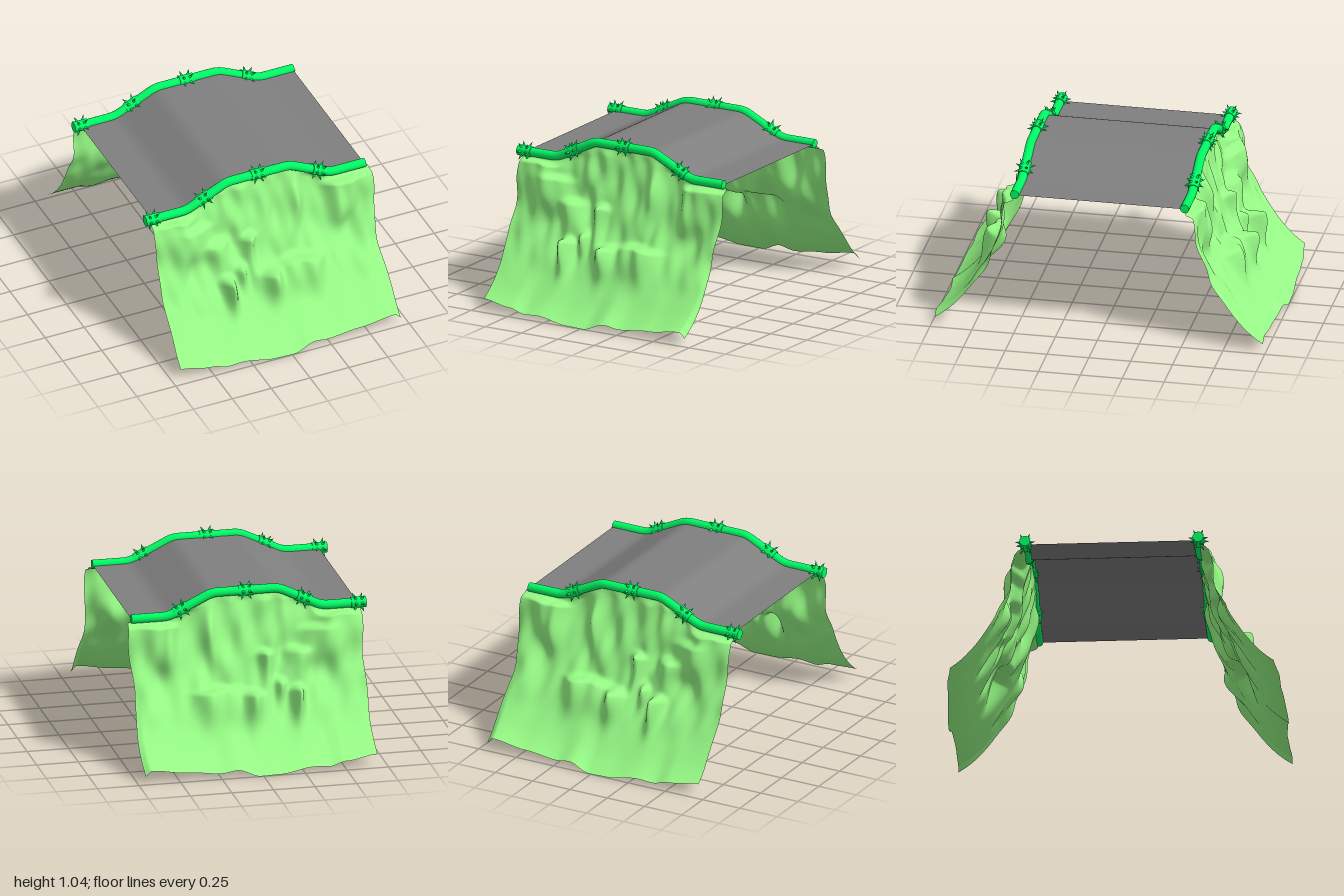
import * as THREE from 'three';

const mat = (color, side = THREE.FrontSide) => new THREE.MeshStandardMaterial({ color, side });
const roadMat = mat(0x7f7f7f, THREE.DoubleSide);
const railMat = mat(0x00f964);
const hillMat = mat(0x97fc86, THREE.DoubleSide);

// Interpolation through [key, value] pairs, optionally eased
function sample(table, k, smooth = false) {
  if (k <= table[0][0]) return table[0][1];
  for (let i = 1; i < table.length; i++) {
    const [a, va] = table[i - 1], [b, vb] = table[i];
    if (k <= b) {
      let t = (k - a) / (b - a);
      if (smooth) t = t * t * (3 - 2 * t);
      return va + (vb - va) * t;
    }
  }
  return table[table.length - 1][1];
}

// Hump-shaped track line shared by the road and the rails
const track = new THREE.Path();
track.moveTo(-0.72, 0.865);
track.lineTo(-0.5, 0.865);
track.quadraticCurveTo(-0.46, 0.865, -0.425, 0.882);
track.lineTo(-0.235, 0.975);
track.quadraticCurveTo(-0.2, 0.992, -0.165, 0.992);
track.lineTo(0.165, 0.992);
track.quadraticCurveTo(0.2, 0.992, 0.235, 0.975);
track.lineTo(0.425, 0.882);
track.quadraticCurveTo(0.46, 0.865, 0.5, 0.865);
track.lineTo(0.685, 0.865);
const linePts = track.getPoints(8).map((p) => [p.x, p.y]);
const trackY = (x) => sample(linePts, x);

// Grid surface from a rule (u, v) -> [x, y, z]
function surface(nu, nv, rule, flip) {
  const pos = [], idx = [];
  for (let j = 0; j <= nv; j++) for (let i = 0; i <= nu; i++) pos.push(...rule(i / nu, j / nv));
  for (let j = 0; j < nv; j++) for (let i = 0; i < nu; i++) {
    const a = j * (nu + 1) + i, b = a + 1, c = a + nu + 1, d = c + 1;
    if (flip) idx.push(a, b, c, b, d, c);
    else idx.push(a, c, b, b, c, d);
  }
  const g = new THREE.BufferGeometry();
  g.setAttribute('position', new THREE.Float32BufferAttribute(pos, 3));
  g.setIndex(idx);
  g.computeVertexNormals();
  return g;
}

// Slope profile: height -> distance from the centre
const profile = new THREE.SplineCurve([[0, 0.985], [0.04, 0.935], [0.1, 0.875], [0.2, 0.795], [0.3, 0.73],
  [0.4, 0.665], [0.5, 0.615], [0.6, 0.58], [0.8, 0.522], [1, 0.492]].map((p) => new THREE.Vector2(...p)));
const profilePts = profile.getPoints(80).map((p) => [p.x, p.y]);
const bottomEdge = [[-0.69, 0.07], [-0.5, 0.05], [-0.4, 0.025], [-0.3, 0.032], [-0.1, 0.005], [0.02, 0.003],
  [0.15, 0.045], [0.25, 0.03], [0.45, 0.05], [0.67, 0.078], [0.71, 0.045]];
const bottomReach = [[-0.69, -0.035], [-0.5, -0.01], [0, 0.012], [0.3, -0.01], [0.7, -0.005]];

// Rocky outcrops and hollows: x, y of crest, reach, half width, drop above, fade below
const outcrops = [
  [-0.27, 0.43, 0.12, 0.035, 0.03, 0.12], [-0.17, 0.46, 0.07, 0.03, 0.035, 0.08],
  [0, 0.43, 0.12, 0.05, 0.03, 0.12], [-0.1, 0.63, 0.09, 0.04, 0.035, 0.16],
  [0.14, 0.42, 0.06, 0.08, 0.03, 0.12], [0.26, 0.43, 0.08, 0.08, 0.03, 0.13],
  [-0.3, 0.62, 0.07, 0.06, 0.035, 0.13], [-0.42, 0.74, 0.06, 0.08, 0.035, 0.18],
  [-0.54, 0.82, 0.07, 0.09, 0.03, 0.22], [-0.66, 0.81, 0.035, 0.09, 0.05, 0.25],
  [0.46, 0.81, 0.07, 0.05, 0.03, 0.22], [0.57, 0.83, 0.06, 0.09, 0.03, 0.25],
  [0.69, 0.81, 0.035, 0.07, 0.05, 0.22], [0.22, 0.75, 0.03, 0.03, 0.12, 0.2],
  [-0.23, 0.82, 0.035, 0.04, 0.1, 0.12], [0.02, 0.75, 0.025, 0.06, 0.12, 0.15],
  [-0.36, 0.5, -0.03, 0.06, 0.07, 0.07], [-0.2, 0.6, -0.03, 0.04, 0.1, 0.08],
  [0.5, 0.52, -0.025, 0.1, 0.12, 0.1], [0.33, 0.72, -0.025, 0.06, 0.12, 0.15],
];
const LEAN = 0.4;

// Outward push and upward lean at a point of the slope
function hillRelief(x, y) {
  let out = 0, lift = 0;
  for (const [cx, cy, reach, w, up, down] of outcrops) {
    const crest = cy - LEAN * Math.max(reach, 0);
    const dx = (x - cx) / w, dy = y > crest ? (y - crest) / up : (crest - y) / down;
    const push = reach * Math.exp(-dx * dx - dy * dy);
    out += push;
    lift += LEAN * Math.max(push, 0);
  }
  // vertical ribs that fade out toward the foot
  const ribs = 0.011 * Math.sin(19 * x + 2.5 * Math.sin(6 * y)) + 0.008 * Math.sin(37 * x - 9 * y + 1)
    + 0.006 * Math.sin(13 * x + 23 * y) + 0.003 * Math.sin(61 * x + 17 * y);
  return { out: out + ribs * THREE.MathUtils.smoothstep(y, 0.1, 0.5), lift };
}

function hillside(side) {
  const rule = (u, v) => {
    const x0 = -0.69 + 1.395 * u;
    const top = trackY(x0) - 0.018;
    const yBase = top * (1 - v);
    const { out, lift } = hillRelief(x0, yBase);
    const rim = THREE.MathUtils.smoothstep(v, 0, 0.06);
    const y = Math.min(yBase + lift * rim, top) + sample(bottomEdge, x0, true) * v * v;
    const z = sample(profilePts, yBase) + out * rim + sample(bottomReach, x0, true) * v ** 4;
    const x = x0 + 0.014 * u * Math.sin(v * 9.5) * (1 - v * 0.5) - 0.004 * (1 - u) * Math.sin(v * 14);
    return [x, y, side * z];
  };
  return surface(150, 130, rule, side < 0);
}

// Collar with two rings of outward-leaning spikes, axis along local x
function spikedCollar() {
  const g = new THREE.Group();
  g.name = 'spikedCollar';
  const band = new THREE.Mesh(new THREE.CylinderGeometry(0.032, 0.032, 0.09, 20), railMat);
  band.name = 'collarBand';
  band.rotation.z = Math.PI / 2;
  g.add(band);
  const up = new THREE.Vector3(0, 1, 0);
  for (const end of [-1, 1]) for (let k = 0; k < 6; k++) {
    const a = ((k + 0.5) / 6) * Math.PI * 2;
    const dir = new THREE.Vector3(end * 0.4, Math.cos(a), Math.sin(a)).normalize();
    const spike = new THREE.Mesh(new THREE.ConeGeometry(0.011, 0.04, 8), railMat);
    spike.name = 'spike';
    spike.position.set(end * 0.018, Math.cos(a) * 0.028, Math.sin(a) * 0.028).addScaledVector(dir, 0.014);
    spike.quaternion.setFromUnitVectors(up, dir);
    g.add(spike);
  }
  return g;
}

function railing(side) {
  const g = new THREE.Group();
  g.name = side > 0 ? 'frontRailing' : 'backRailing';
  const z = side * 0.508;
  const curve = new THREE.CurvePath();
  for (let i = 1; i < linePts.length; i++) {
    curve.add(new THREE.LineCurve3(new THREE.Vector3(...linePts[i - 1], z), new THREE.Vector3(...linePts[i], z)));
  }
  const pipe = new THREE.Mesh(new THREE.TubeGeometry(curve, 120, 0.027, 16), railMat);
  pipe.name = 'railPipe';
  g.add(pipe);
  // flat end caps
  for (const [x, turn] of [[-0.72, -1], [0.685, 1]]) {
    const cap = new THREE.Mesh(new THREE.CircleGeometry(0.027, 16), railMat);
    cap.name = 'railCap';
    cap.position.set(x, 0.865, z);
    cap.rotation.y = turn * Math.PI / 2;
    g.add(cap);
  }
  for (const x of [-0.68, -0.35, -0.003, 0.385]) {
    const collar = spikedCollar();
    collar.position.set(x, trackY(x), z);
    collar.rotation.z = Math.atan2(trackY(x + 0.02) - trackY(x - 0.02), 0.04);
    g.add(collar);
  }
  return g;
}

export function createModel() {
  const model = new THREE.Group();
  model.name = 'humpBridge';

  // Road deck
  const deck = surface(80, 1, (u, v) => {
    const x = -0.68 + 1.362 * u;
    return [x, trackY(x) - 0.003, -0.49 + 0.98 * v];
  });
  const road = new THREE.Mesh(deck, roadMat);
  road.name = 'roadDeck';
  model.add(road);

  // Mirrored hillsides and railings
  for (const side of [1, -1]) {
    const hill = new THREE.Mesh(hillside(side), hillMat);
    hill.name = side > 0 ? 'frontHillside' : 'backHillside';
    model.add(hill, railing(side));
  }
  return model;
}
